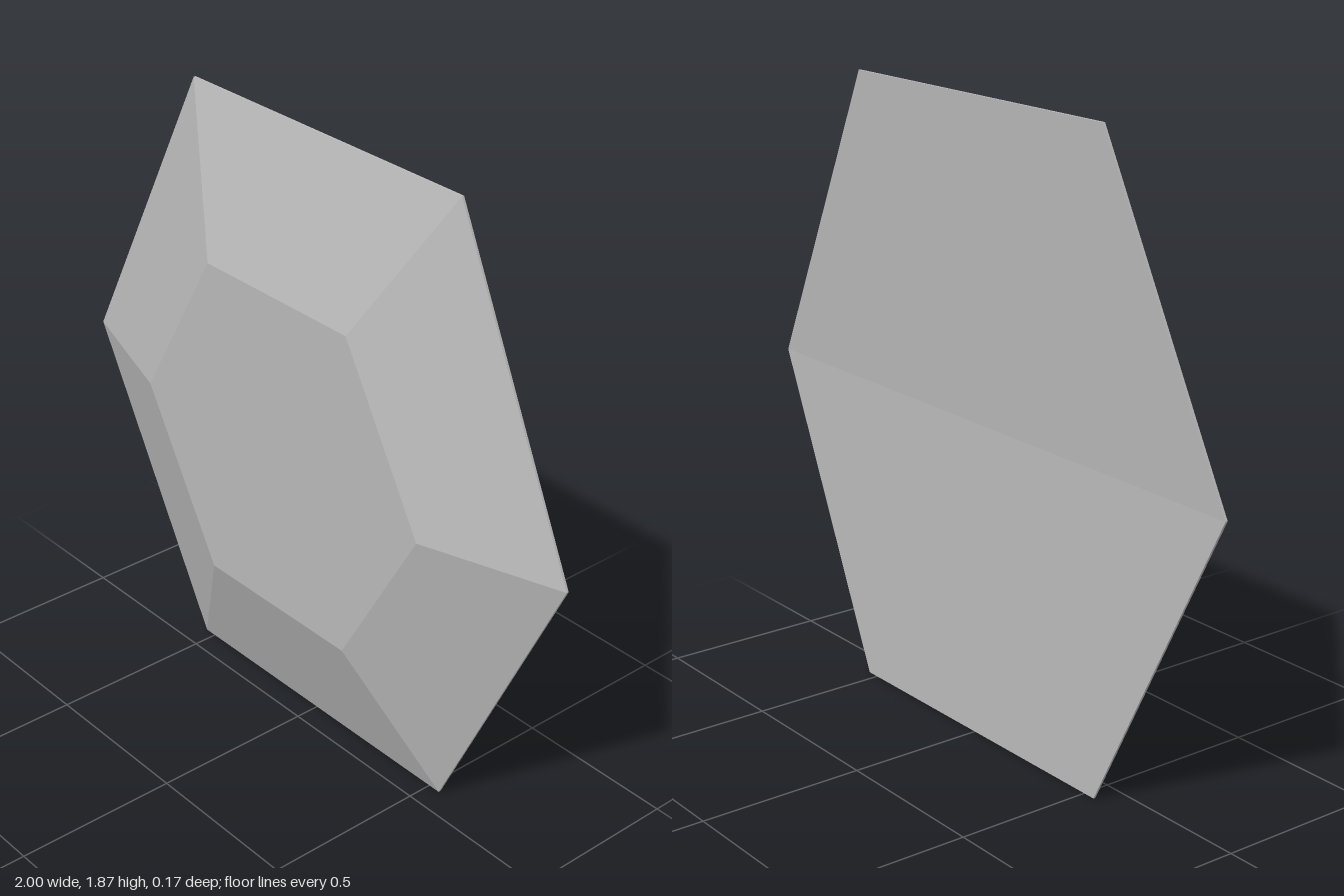
import * as THREE from 'three';

// Six corners, counter-clockwise seen from the front, starting at the left (+x) corner
function hexRing(sideX, topX, halfHeight, sideZ, topZ) {
  const cy = 0.935;
  return [[1, 0], [1, 1], [-1, 1], [-1, 0], [-1, -1], [1, -1]].map(([sx, sy]) =>
    [sx * (sy ? topX : sideX), cy + sy * halfHeight, sy ? topZ : sideZ]);
}

// Flat facets from convex polygons, each with its own corners
function facets(name, polygons, material) {
  const positions = [];
  for (const p of polygons) {
    for (let i = 1; i < p.length - 1; i++) positions.push(...p[0], ...p[i], ...p[i + 1]);
  }
  const geometry = new THREE.BufferGeometry();
  geometry.setAttribute('position', new THREE.Float32BufferAttribute(positions, 3));
  geometry.computeVertexNormals();
  const mesh = new THREE.Mesh(geometry, material);
  mesh.name = name;
  return mesh;
}

// Sloping strip between two rings
function band(outer, inner) {
  return outer.map((corner, i) => {
    const j = (i + 1) % outer.length;
    return [corner, outer[j], inner[j], inner[i]];
  });
}

export function createModel() {
  const grey = new THREE.MeshStandardMaterial({ color: 0xb8b8b8, flatShading: true });
  grey.name = 'plain grey';

  const face = hexRing(0.58, 0.29, 0.5, 0.083, 0.083);
  const edge = hexRing(1, 0.54, 0.935, -0.05, -0.076);
  const back = hexRing(1, 0.54, 0.935, -0.057, -0.083);

  const group = new THREE.Group();
  group.name = 'hexagonalPanel';
  group.add(
    facets('frontFace', [face], grey),
    facets('bevel', band(edge, face), grey),
    facets('rim', band(back, edge), grey),
    // Back is folded along the horizontal centre line
    facets('backPlate', [
      [back[3], back[2], back[1], back[0]],
      [back[0], back[5], back[4], back[3]],
    ], grey),
  );
  return group;
}
